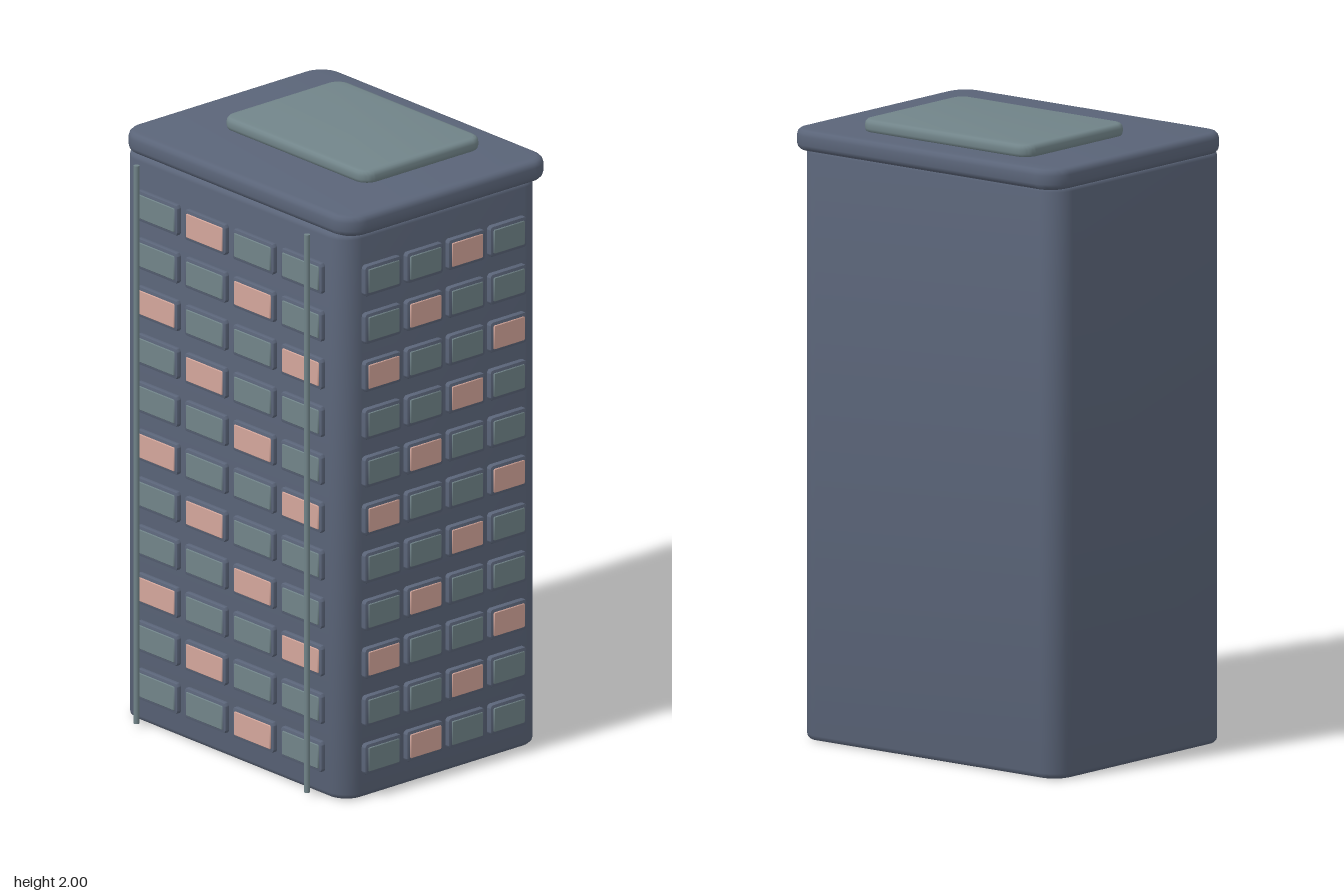
import * as THREE from 'three';
import { toCreasedNormals } from 'three/addons/utils/BufferGeometryUtils.js';

// Rounded rectangle w x h lying in XY, rising from z = 0 to z = depth with rounded rims
function slab(w, h, depth, radius, bevel, segments = 3) {
  const x = w / 2 - bevel, y = h / 2 - bevel;
  const r = Math.max(radius - bevel, 0.002);
  const s = new THREE.Shape();
  s.moveTo(-x + r, -y);
  s.lineTo(x - r, -y);
  s.absarc(x - r, -y + r, r, -Math.PI / 2, 0, false);
  s.lineTo(x, y - r);
  s.absarc(x - r, y - r, r, 0, Math.PI / 2, false);
  s.lineTo(-x + r, y);
  s.absarc(-x + r, y - r, r, Math.PI / 2, Math.PI, false);
  s.lineTo(-x, -y + r);
  s.absarc(-x + r, -y + r, r, Math.PI, Math.PI * 1.5, false);
  const geo = new THREE.ExtrudeGeometry(s, {
    depth: depth - 2 * bevel, bevelEnabled: true, bevelSize: bevel,
    bevelThickness: bevel, bevelSegments: segments, curveSegments: 6,
  });
  geo.translate(0, 0, bevel);
  return toCreasedNormals(geo, 0.7);
}

export function createModel() {
  const wall = new THREE.MeshStandardMaterial({ name: 'slate wall', color: 0x5a6478 });
  const glass = new THREE.MeshStandardMaterial({ name: 'grey green glass', color: 0x718489 });
  const lit = new THREE.MeshStandardMaterial({ name: 'lit pink window', color: 0xd4a69b });

  const model = new THREE.Group();
  model.name = 'towerBlock';

  const add = (parent, name, geo, mat, x, y, z) => {
    const mesh = new THREE.Mesh(geo, mat);
    mesh.name = name;
    mesh.position.set(x, y, z);
    parent.add(mesh);
    return mesh;
  };
  const upright = (...args) => slab(...args).rotateX(-Math.PI / 2);

  // Tower, overhanging roof slab and raised roof panel
  add(model, 'tower', upright(1.064, 0.831, 1.9, 0.075, 0.018), wall, -0.005, 0, -0.011);
  add(model, 'roofSlab', upright(1.092, 0.861, 0.068, 0.08, 0.02), wall, -0.005, 1.893, -0.031);
  add(model, 'roofPanel', upright(0.69, 0.5, 0.045, 0.05, 0.016), glass, -0.005, 1.955, -0.1);

  // Wall of windows: 11 floors x 4 columns in a local frame facing +z
  const floors = 11, columns = 4, floorPitch = 0.1608, topFloor = 1.74;
  function windowWall(name, width, pitch) {
    const group = new THREE.Group();
    group.name = name;
    const frameGeo = slab(width, 0.103, 0.024, 0.012, 0.006, 2);
    const paneGeo = slab(width - 0.024, 0.08, 0.009, 0.004, 0.002, 1);
    for (let row = 0; row < floors; row++) {
      for (let col = 0; col < columns; col++) {
        const x = (col - 1.5) * pitch, y = topFloor - row * floorPitch;
        const isLit = (col - row + 12) % 3 === 1;
        add(group, 'windowFrame', frameGeo, wall, x, y, -0.006);
        add(group, 'windowPane', paneGeo, isLit ? lit : glass, x, y, 0.0125);
      }
    }
    model.add(group);
    return group;
  }
  windowWall('frontWindows', 0.196, 0.228).position.set(-0.004, 0, 0.402);

  // Left wall, mirrored column order so the lit diagonals continue round the corner
  const side = windowWall('leftWindows', 0.153, 0.175);
  side.position.set(0.527, 0, -0.008);
  side.rotation.y = Math.PI / 2;
  side.children.forEach((m) => {
    // columns run from back to front along the wall
    m.position.x *= -1;
  });

  // Two slim drainpipes standing in front
  const pipeGeo = new THREE.CylinderGeometry(0.0095, 0.0095, 1.875, 12);
  for (const x of [-0.409, 0.4]) add(model, 'drainpipe', pipeGeo, glass, x, 0.952, 0.448);

  return model;
}
